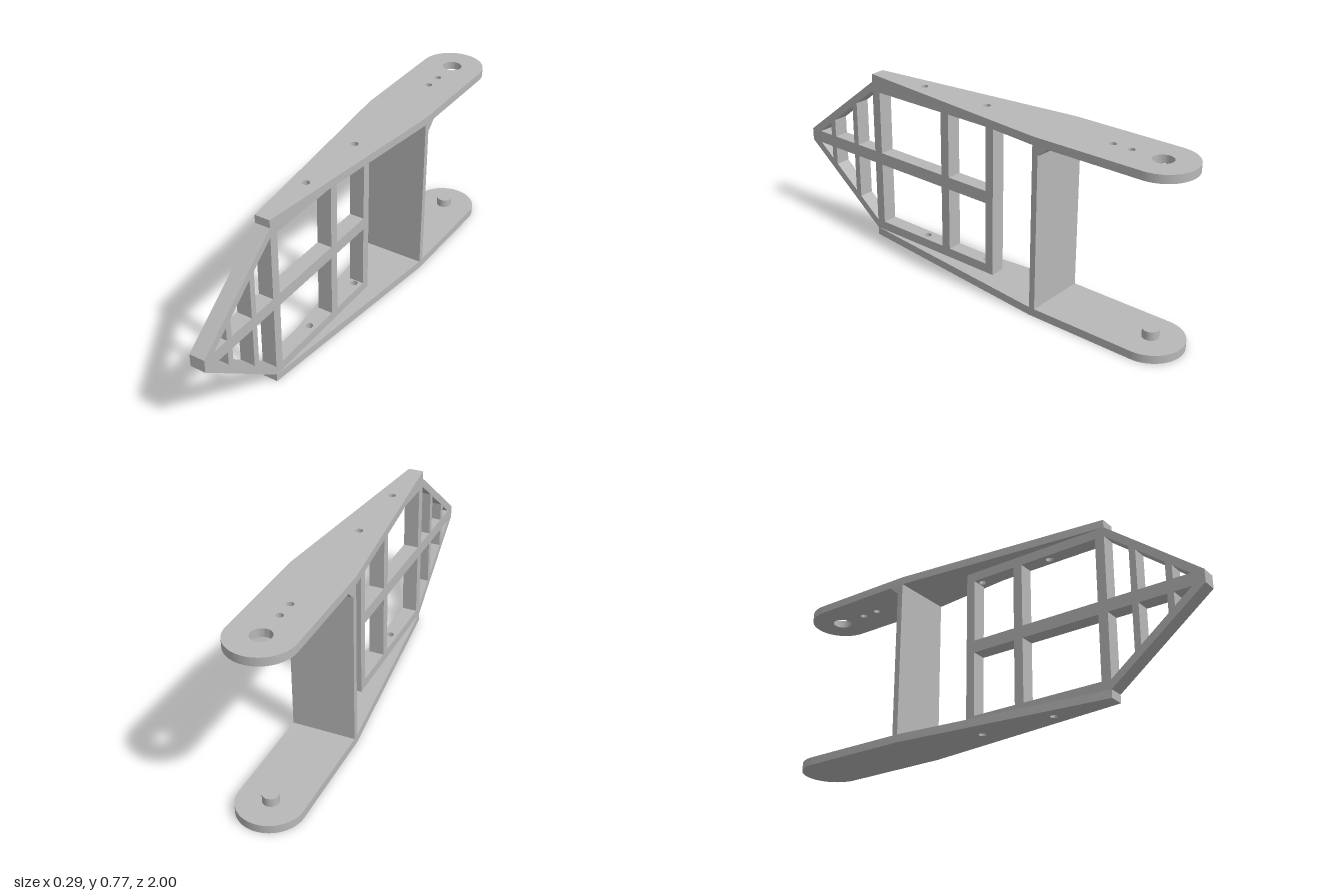
import * as THREE from 'three';
import { toCreasedNormals } from 'three/addons/utils/BufferGeometryUtils.js';

const HEIGHT = 0.775, PLATE = 0.035, RAIL = 0.041;
const TOP = HEIGHT - PLATE;          // underside of the upper plate
const BAR = 0.067;                   // width of the truss
const PIVOT = -0.866, TAIL_R = 0.137;
const BOLTS = [-0.04, 0.305];        // bolt holes through plates and rails

export function createModel() {
  const model = new THREE.Group();
  model.name = 'bracket';
  const arm = new THREE.Group();
  arm.name = 'arm';
  arm.position.x = 0.016;
  arm.rotation.y = Math.atan(0.0285); // the whole arm sits slightly askew
  model.add(arm);

  const grey = new THREE.MeshStandardMaterial({ color: 0xb8b8b8 });
  grey.name = 'grey';

  const add = (name, geometry) => {
    const mesh = new THREE.Mesh(geometry, grey);
    mesh.name = name;
    arm.add(mesh);
    return mesh;
  };
  const polygon = (pts) => new THREE.Shape(pts.map(([a, b]) => new THREE.Vector2(a, b)));
  const hole = (z, r) => new THREE.Path().absarc(0, z, r, 0, Math.PI * 2, true);

  // Shape drawn in (x, z), thickened upwards from y0
  const slab = (name, shape, y0, h) => {
    const g = new THREE.ExtrudeGeometry(shape, { depth: h, bevelEnabled: false, curveSegments: 20 });
    g.rotateX(Math.PI / 2).translate(0, y0 + h, 0);
    return add(name, toCreasedNormals(g, 0.6));
  };
  // Shape drawn in (z, y), thickened across x
  const profile = (name, shape, w) => {
    const g = new THREE.ExtrudeGeometry(shape, { depth: w, bevelEnabled: false });
    g.rotateY(-Math.PI / 2).translate(w / 2, 0, 0);
    return add(name, g);
  };
  const box = (name, w, y0, y1, z0, z1) => {
    const g = new THREE.BoxGeometry(w, y1 - y0, z1 - z0);
    return add(name, g.translate(0, (y0 + y1) / 2, (z0 + z1) / 2));
  };

  // Upper and lower plates: round tail, parallel sides, tapering to the front
  const plateShape = (holes) => {
    const s = new THREE.Shape();
    s.moveTo(BAR / 2, 0.585);
    s.lineTo(-BAR / 2, 0.585);
    s.lineTo(-TAIL_R, -0.38);
    s.lineTo(-TAIL_R, PIVOT);
    s.absarc(0, PIVOT, TAIL_R, Math.PI, Math.PI * 2, false);
    s.lineTo(TAIL_R, -0.38);
    s.closePath();
    s.holes = holes.map(([z, r]) => hole(z, r));
    return s;
  };
  const bolts = BOLTS.map((z) => [z, 0.016]);
  slab('upperPlate', plateShape([...bolts, [PIVOT, 0.042], [-0.73, 0.015], [-0.648, 0.015]]), TOP, PLATE);
  slab('lowerPlate', plateShape(bolts), 0, PLATE);

  // Pivot pin on the lower plate
  const pin = new THREE.CylinderGeometry(0.034, 0.034, 0.037, 40);
  add('pivotPin', pin.translate(0, PLATE + 0.0185, PIVOT));

  // Cross wall with a chamfer strip under the upper plate
  box('crossWall', TAIL_R * 2, PLATE, TOP, -0.406, -0.38);
  profile('wallChamfer', polygon([[-0.45, TOP], [-0.414, 0.705], [-0.406, 0.705], [-0.406, TOP]]), TAIL_R * 2);

  // Truss rails with bolt holes
  const railShape = () => {
    const b = BAR / 2;
    const s = polygon([[-b, -0.1], [b, -0.1], [b, 0.543], [-b, 0.543]]);
    s.holes = BOLTS.map((z) => hole(z, 0.016));
    return s;
  };
  slab('upperRail', railShape(), TOP - RAIL, RAIL);
  slab('lowerRail', railShape(), PLATE, RAIL);

  // Truss posts and middle rail
  const low = PLATE + RAIL, high = TOP - RAIL, midLow = 0.36, midHigh = 0.415;
  for (const [z0, z1] of [[-0.1, -0.06], [0.143, 0.185]]) {
    box('lowerPost', BAR, low, midLow, z0, z1);
    box('upperPost', BAR, midHigh, high, z0, z1);
  }
  box('middleRail', BAR, midLow, midHigh, -0.1, 0.543);

  // Pointed nose with three openings above and below the middle rail
  const nose = polygon([[0.543, PLATE], [0.585, PLATE], [1, midLow], [1, midHigh], [0.585, TOP], [0.543, TOP]]);
  const rise = (z) => 0.79 * (0.945 - z);
  for (const [z0, z1] of [[0.585, 0.692], [0.72, 0.842], [0.87, 0.945]]) {
    for (const [base, dir] of [[midHigh, 1], [midLow, -1]]) {
      const pts = [[z0, base], [z1, base]];
      if (rise(z1) > 0.001) pts.push([z1, base + dir * rise(z1)]);
      pts.push([z0, base + dir * rise(z0)]);
      nose.holes.push(polygon(pts));
    }
  }
  profile('nose', nose, BAR);

  return model;
}
